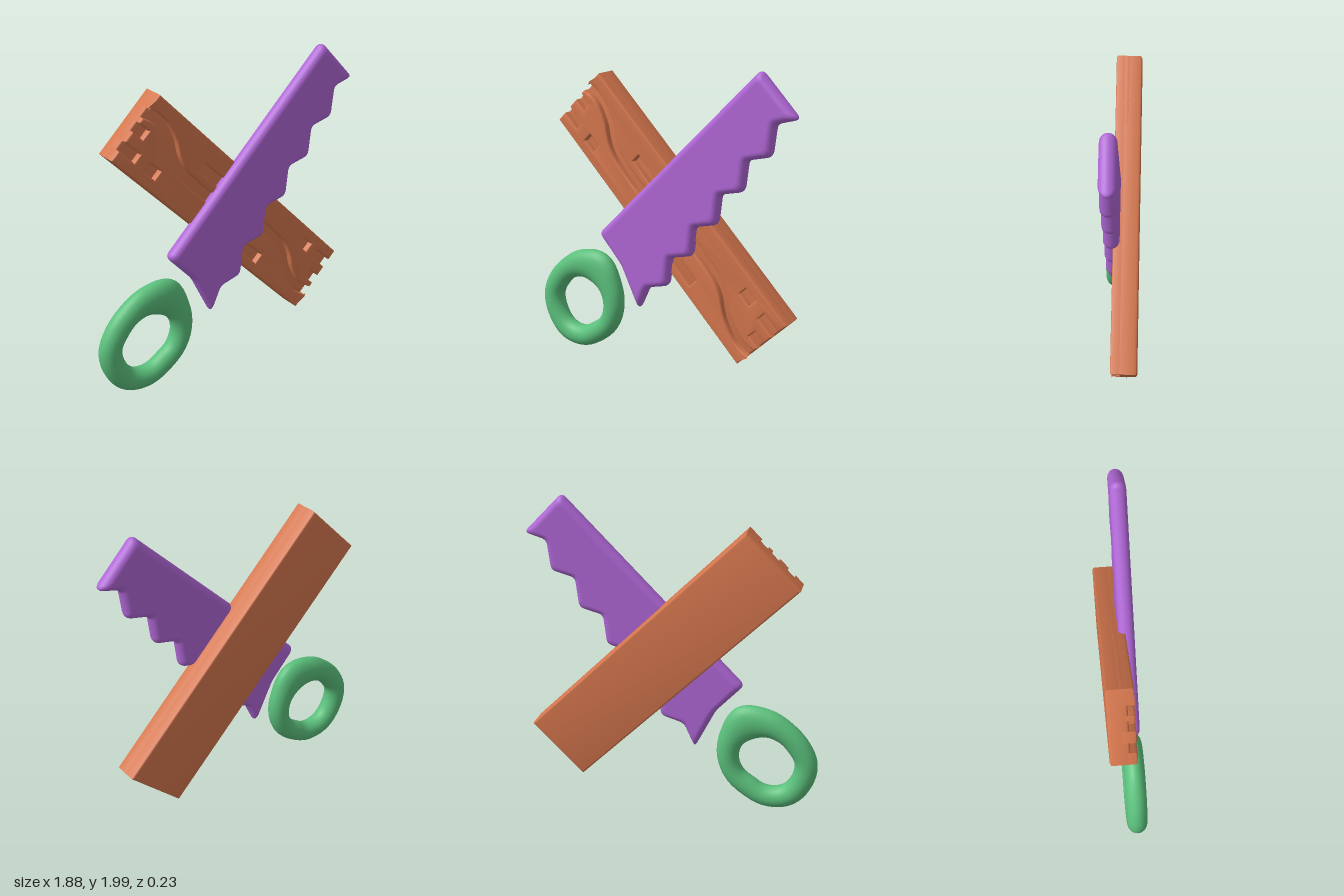
import * as THREE from 'three';
import { toCreasedNormals } from 'three/addons/utils/BufferGeometryUtils.js';

const material = (name, color) => {
  const m = new THREE.MeshStandardMaterial({ color });
  m.name = name;
  return m;
};

const part = (name, geometry, mat) => {
  const mesh = new THREE.Mesh(geometry, mat);
  mesh.name = name;
  return mesh;
};

// Skin over closed loops of points; either wraps round or gets flat caps.
function loft(rows, wrap) {
  const n = rows[0].length, m = rows.length, index = [];
  for (let j = 0; j < (wrap ? m : m - 1); j++) {
    for (let i = 0; i < n; i++) {
      const i2 = (i + 1) % n, j2 = (j + 1) % m;
      const a = j * n + i, b = j * n + i2, c = j2 * n + i2, d = j2 * n + i;
      index.push(a, b, c, a, c, d);
    }
  }
  if (!wrap) {
    const flat = (row) => row.map((p) => new THREE.Vector2(p.x, p.y));
    for (const [a, b, c] of THREE.ShapeUtils.triangulateShape(flat(rows[0]), [])) index.push(a, c, b);
    const o = (m - 1) * n;
    for (const [a, b, c] of THREE.ShapeUtils.triangulateShape(flat(rows[m - 1]), [])) index.push(o + a, o + b, o + c);
  }
  const g = new THREE.BufferGeometry().setFromPoints(rows.flat());
  g.setIndex(index);
  g.computeVertexNormals();
  return g;
}

// Move every edge of a counter-clockwise polygon inwards by d.
function inset(points, d) {
  const n = points.length;
  return points.map((p, i) => {
    const a = p.clone().sub(points[(i + n - 1) % n]).normalize();
    const b = points[(i + 1) % n].clone().sub(p).normalize();
    const na = new THREE.Vector2(-a.y, a.x), nb = new THREE.Vector2(-b.y, b.x);
    return na.clone().add(nb).multiplyScalar(d / (1 + na.dot(nb))).add(p);
  });
}

// Replace each corner by a short curve.
function roundCorners(points, cut, steps = 5) {
  const n = points.length, out = [];
  points.forEach((p, i) => {
    const end = (q) => p.clone().lerp(q, Math.min(0.4, cut / p.distanceTo(q)));
    const curve = new THREE.QuadraticBezierCurve(end(points[(i + n - 1) % n]), p, end(points[(i + 1) % n]));
    out.push(...curve.getPoints(steps));
  });
  return out;
}

// Toothed blade with soft pillow edges
function bladeGeometry() {
  const outline = [[0.705, 2.01], [-0.45, 0.85], [-0.275, 0.66], [-0.14, 0.385], [-0.065, 0.55]];
  for (let k = 0; k < 5; k++) {
    // tooth tip, then the notch above it
    outline.push([0.085 + k * 0.176, 0.592 + k * 0.232]);
    outline.push([0.108 + k * 0.176, 0.785 + k * 0.232]);
  }
  outline.push([0.955, 1.755]);
  const points = outline.map(([x, y]) => new THREE.Vector2(x, y));
  const rows = [], steps = 14, half = 0.0485, edge = 0.042;
  for (let j = 0; j <= steps; j++) {
    const t = (j / steps - 0.5) * Math.PI;
    const loop = roundCorners(inset(points, edge * (1 - Math.cos(t))), 0.032);
    rows.push(loop.map((p) => new THREE.Vector3(p.x, p.y, 0.0475 + half * Math.sin(t))));
  }
  return loft(rows, false);
}

// Ring grip, given by outer and inner radius at every 30 degrees
function gripGeometry() {
  const outer = [0.328, 0.355, 0.403, 0.352, 0.307, 0.302, 0.323, 0.335, 0.35, 0.333, 0.307, 0.312];
  const inner = [0.185, 0.185, 0.168, 0.162, 0.155, 0.153, 0.175, 0.186, 0.2, 0.19, 0.168, 0.178];
  const radii = new THREE.CatmullRomCurve3(
    outer.map((r, i) => new THREE.Vector3(r, inner[i], 0)), true, 'catmullrom');
  const rows = [], around = 96, section = 28;
  for (let j = 0; j < section; j++) {
    const f = (j / section) * Math.PI * 2, row = [];
    for (let i = 0; i < around; i++) {
      const a = (i / around) * Math.PI * 2, r = radii.getPoint(i / around);
      const d = (r.x + r.y) / 2 + ((r.x - r.y) / 2) * Math.cos(f);
      row.push(new THREE.Vector3(-0.614 + d * Math.cos(a), 0.344 + d * Math.sin(a), 0.0475 + 0.0675 * Math.sin(f)));
    }
    rows.push(row);
  }
  return loft(rows, true);
}

const L = 0.969, W = 0.233; // half length and half width of the plank

function extrude(shape, back, front, bevel) {
  const g = new THREE.ExtrudeGeometry(shape, {
    depth: front - back - 2 * bevel, bevelEnabled: true, bevelSize: bevel,
    bevelThickness: bevel, bevelOffset: -bevel, bevelSegments: 3, curveSegments: 4,
  });
  g.translate(0, 0, back + bevel);
  return toCreasedNormals(g, 0.6);
}

const rectangle = (u0, u1, v0, v1) => [[u0, v0], [u1, v0], [u1, v1], [u0, v1]]
  .map(([u, v]) => new THREE.Vector2(u, v));

// Raised half of the plank front: wavy lower edge, end notches, carved pockets
function carvedHalf(v0, v1) {
  const half = [[-L, 0.1], [-0.9, 0.117], [-0.82, 0.113], [-0.7, 0.071], [-0.59, 0.002], [-0.46, -0.032], [-0.2, -0.034]];
  const wave = [...half, [0, 0], ...half.map(([u, v]) => [-u, -v]).reverse()];
  const curve = new THREE.SplineCurve(wave.map(([u, v]) => new THREE.Vector2(u, v)));
  const points = [];
  for (let i = 0; i <= 70; i++) {
    const p = curve.getPoint(i / 70), t = curve.getTangent(i / 70);
    const ends = i === 0 || i === 70;
    points.push(new THREE.Vector2(ends ? p.x : p.x - t.y * 0.032, p.y + (ends ? 0.032 : t.x * 0.032)));
  }
  for (const [u, v] of [[L, -0.035], [0.88, -0.035], [0.88, 0.028], [L, 0.028],
    [L, 0.1], [0.832, 0.1], [0.832, 0.162], [L, 0.162], [L, W], [-L, W]]) points.push(new THREE.Vector2(u, v));
  const shape = new THREE.Shape(points);
  shape.holes.push(new THREE.Path(rectangle(0.645, 0.74, 0.1, 0.165)));
  shape.holes.push(new THREE.Path(rectangle(-0.412, -0.2, v0, v1)));
  return extrude(shape, -0.05, 0.04, 0.01);
}

export function createModel() {
  const wood = material('wood orange', 0xd4764d);
  const purple = material('blade purple', 0xb067d6);
  const green = material('grip green', 0x5bc07c);

  const model = new THREE.Group();
  model.name = 'sawAndPlank';

  // Plank lying diagonally behind the blade
  const plank = new THREE.Group();
  plank.name = 'plank';
  plank.position.set(0.06, 1.03, 0);
  plank.rotation.z = -Math.PI / 4;
  plank.add(part('plankBase', extrude(new THREE.Shape(rectangle(-L, L, -W, W)), -0.117, 0, 0.014), wood));
  plank.add(part('plankCarvingUpper', carvedHalf(0.046, 0.11), wood));
  const lower = part('plankCarvingLower', carvedHalf(0.107, 0.175), wood);
  lower.rotation.z = Math.PI;
  plank.add(lower);

  // Saw
  const saw = new THREE.Group();
  saw.name = 'saw';
  saw.add(part('blade', bladeGeometry(), purple), part('grip', gripGeometry(), green));

  model.add(plank, saw);
  return model;
}
